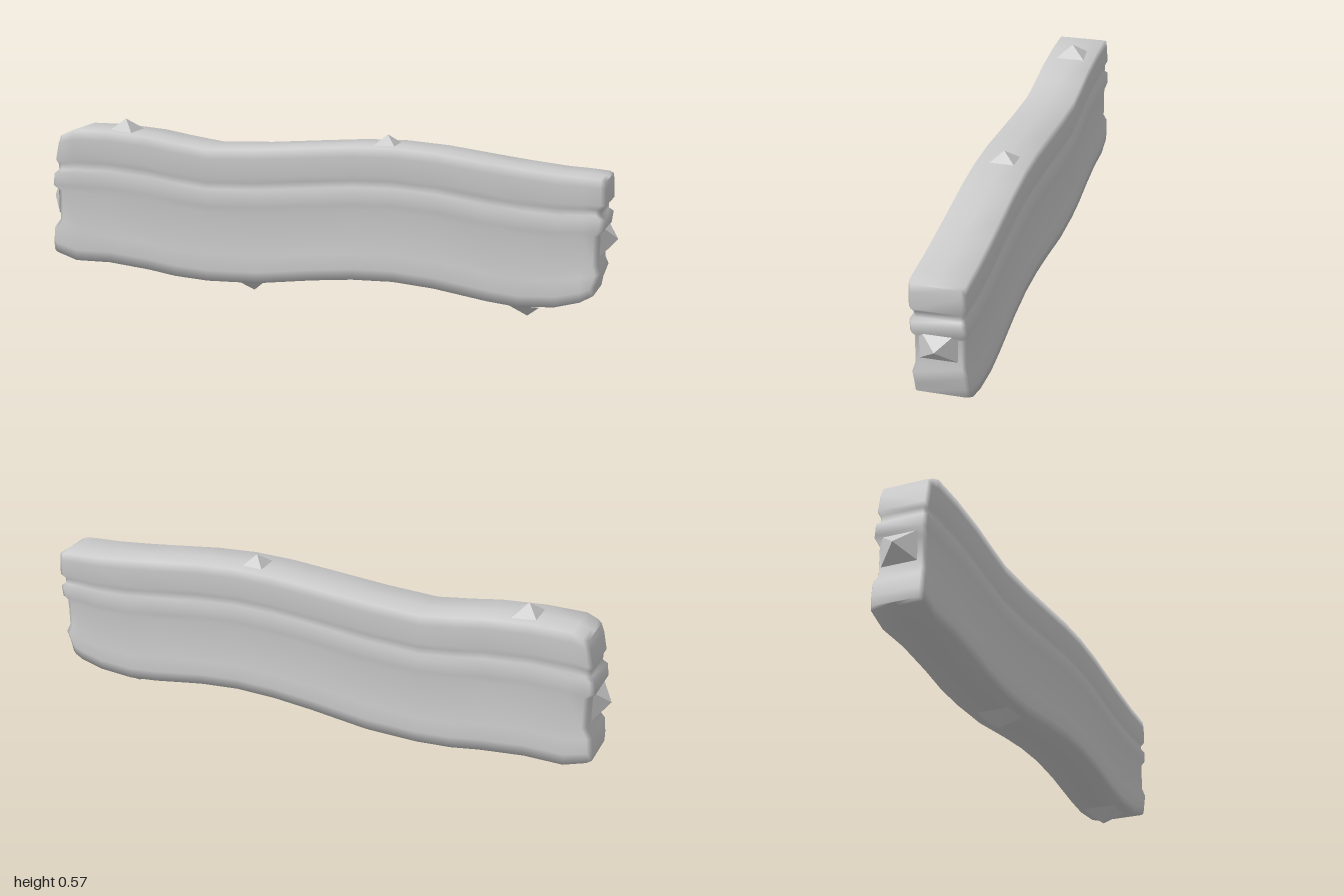
import * as THREE from 'three';

// Cross-section from bottom to top: [height fraction, half depth, left end x, right end x]
const ROWS = [
  [0, 0.083, -0.97, 0.94],
  [0.08, 0.085, -0.97, 0.945],
  [0.2, 0.085, -0.965, 0.96],
  [0.27, 0.077, -0.945, 0.95],
  [0.52, 0.077, -0.945, 0.95],
  [0.57, 0.085, -0.965, 0.965],
  [0.67, 0.085, -0.96, 0.97],
  [0.7, 0.077, -0.945, 0.955],
  [0.75, 0.077, -0.945, 0.955],
  [0.79, 0.085, -0.952, 0.97],
  [0.93, 0.085, -0.94, 0.968],
  [1, 0.083, -0.93, 0.967],
];

// Wavy outline between the two ends: [x, bottom y, top y]
const WAVE = [
  [-0.88, 0.07, 0.533], [-0.75, 0.073, 0.535], [-0.6, 0.06, 0.525], [-0.5, 0.046, 0.51],
  [-0.38, 0.04, 0.495], [-0.2, 0.047, 0.505], [0, 0.075, 0.523], [0.14, 0.09, 0.535],
  [0.28, 0.095, 0.539], [0.42, 0.085, 0.531], [0.6, 0.059, 0.51], [0.7, 0.05, 0.499],
  [0.82, 0.06, 0.488], [0.9, 0.083, 0.485],
];

// Ribbed, wavy bar: a ring of points per column, capped at both ends
function createBar() {
  const n = ROWS.length;
  const ring = [
    [ROWS[0], 0],
    ...ROWS.map((r) => [r, 1]),
    [ROWS[n - 1], 0],
    ...ROWS.map((r) => [r, -1]).reverse(),
  ];
  const m = ring.length;
  const columns = [
    { end: 2, inset: 0, bottom: 0.1, top: 0.51, depth: 0.88 },
    { end: 2, inset: 0.015, bottom: 0.094, top: 0.517, depth: 1 },
    ...WAVE.map(([x, bottom, top]) => ({ x, bottom, top, depth: 1 })),
    { end: 3, inset: -0.015, bottom: 0.098, top: 0.481, depth: 1 },
    { end: 3, inset: 0, bottom: 0.105, top: 0.476, depth: 0.88 },
  ];
  const points = [];
  const index = [];
  for (const c of columns) {
    for (const [row, side] of ring) {
      points.push(
        c.end ? row[c.end] + c.inset : c.x,
        c.bottom + row[0] * (c.top - c.bottom),
        side * row[1] * c.depth,
      );
    }
  }
  for (let c = 0; c < columns.length - 1; c++) {
    for (let i = 0; i < m; i++) {
      const a = c * m + i;
      const d = c * m + ((i + 1) % m);
      index.push(a, a + m, d, a + m, d + m, d);
    }
  }
  // End caps join each front point to its mirrored back point
  const last = (columns.length - 1) * m;
  for (let i = 0; i <= n; i++) {
    const f0 = i, f1 = i + 1, b0 = (m - i) % m, b1 = m - i - 1;
    for (const [p, q, r] of [[f0, b0, b1], [f0, b1, f1]]) {
      if (p === q || q === r || p === r) continue;
      index.push(last + p, last + q, last + r, p, r, q);
    }
  }
  const geometry = new THREE.BufferGeometry();
  geometry.setAttribute('position', new THREE.Float32BufferAttribute(points, 3));
  geometry.setIndex(index);
  geometry.computeVertexNormals();
  const bar = new THREE.Mesh(geometry, new THREE.MeshStandardMaterial({ color: 0xcccccc }));
  bar.name = 'wavyBar';
  return bar;
}

// Four-sided stud with its tip at (x, y), turned about z to point outward
function createStud(name, x, y, angle) {
  const height = 0.046;
  const geometry = new THREE.ConeGeometry(Math.SQRT1_2, 1, 4);
  geometry.rotateY(Math.PI / 4);
  geometry.scale(0.1, height, 0.116);
  geometry.translate(0, -height / 2, 0);
  const stud = new THREE.Mesh(
    geometry,
    new THREE.MeshStandardMaterial({ color: 0xcccccc, flatShading: true }),
  );
  stud.position.set(x, y, 0);
  stud.rotation.z = angle;
  stud.name = name;
  return stud;
}

export function createModel() {
  const model = new THREE.Group();
  model.name = 'wavyRail';
  model.add(createBar());

  // Studs on the top, underside and both ends
  for (const [name, x, y, angle] of [
    ['topStudRight', -0.715, 0.57, 0],
    ['topStudLeft', 0.235, 0.57, 0],
    ['bottomStudRight', -0.24, 0, Math.PI],
    ['bottomStudLeft', 0.715, 0, Math.PI],
    ['endStudRight', -1, 0.28, Math.PI / 2],
    ['endStudLeft', 1, 0.28, -Math.PI / 2],
  ]) {
    model.add(createStud(name, x, y, angle));
  }
  return model;
}
